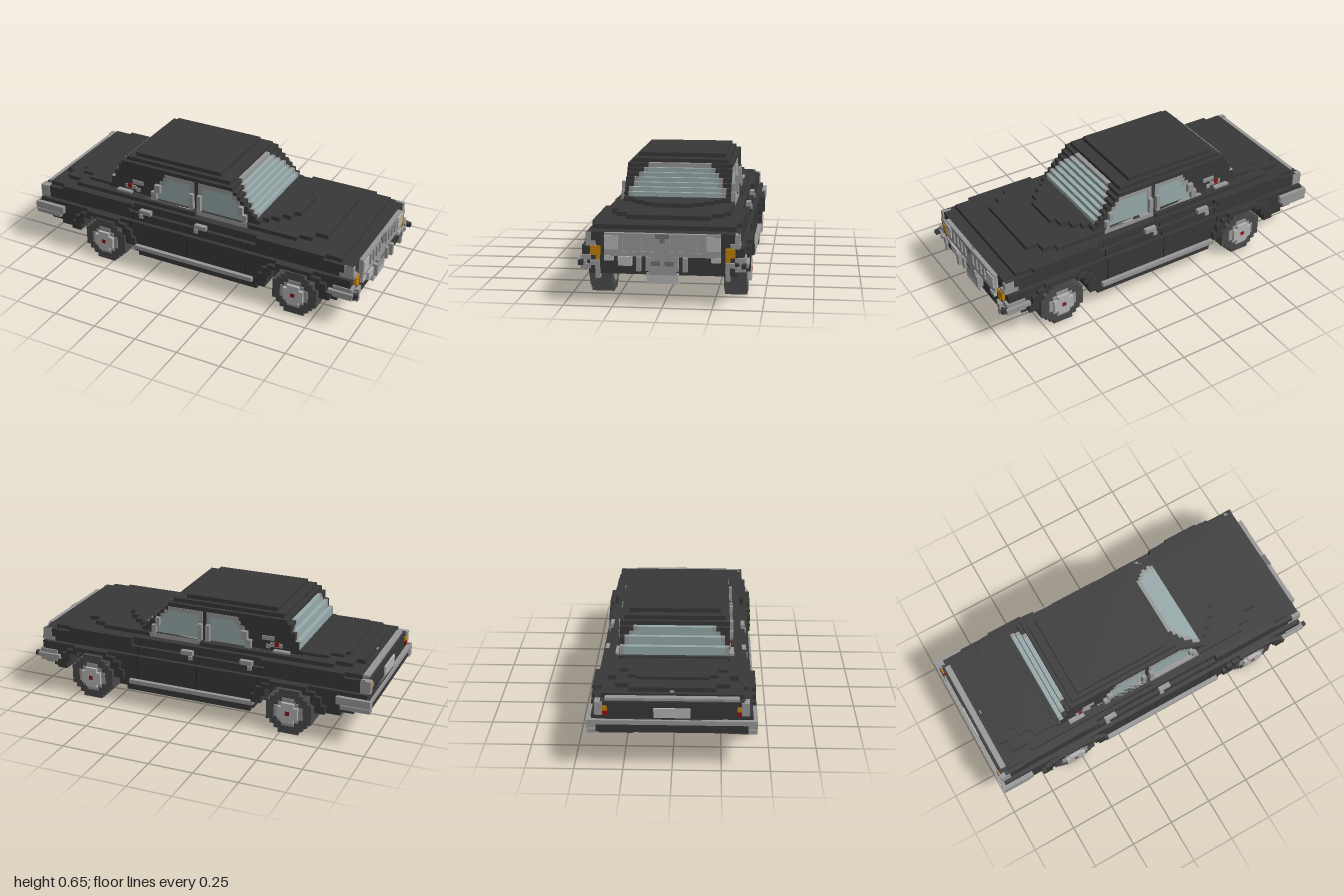
import * as THREE from 'three';
import { mergeGeometries } from 'three/addons/utils/BufferGeometryUtils.js';

const V = 2 / 86; // edge of one block; all sizes below are in blocks
const mat = (color) => new THREE.MeshStandardMaterial({ color, flatShading: true });
const BODY = mat(0x383838), SEAM = mat(0x242424), TYRE = mat(0x4a4a4a), CHROME = mat(0x979797), DULL = mat(0x707070),
  LAMP = mat(0xb4b4b4), GLASS = mat(0x98aaaa), AMBER = mat(0xc08208), RED = mat(0x8c1414);

// One block-shaped piece from its limits
function box(x0, x1, y0, y1, z0, z1) {
  const g = new THREE.BoxGeometry((x1 - x0) * V, (y1 - y0) * V, Math.abs(z1 - z0) * V);
  return g.translate((x0 + x1) / 2 * V, (y0 + y1) / 2 * V, (z0 + z1) / 2 * V);
}
// Block spanning the full width, and a pair of blocks on both flanks
const wide = (x0, x1, y0, y1, hz) => [box(x0, x1, y0, y1, -hz, hz)];
const pair = (x0, x1, y0, y1, z0, z1) => [box(x0, x1, y0, y1, z0, z1), box(x0, x1, y0, y1, -z1, -z0)];

// Panel with stepped corners: each step is [x limit, half width] measured from a shared edge
const tapered = (from, steps, y0, y1) =>
  steps.flatMap(([x, hz]) => wide(Math.min(from, x), Math.max(from, x), y0, y1, hz));

// Stepped disc facing z, one block row per half-width
const disc = (cx, cy, rows, z0, z1) =>
  rows.map((h, i) => box(cx - h, cx + h, cy - rows.length / 2 + i, cy - rows.length / 2 + i + 1, z0, z1));

export function createModel() {
  const car = new THREE.Group();
  car.name = 'car';
  const add = (name, material, boxes) => {
    const mesh = new THREE.Mesh(mergeGeometries(boxes.flat()), material);
    mesh.name = name;
    car.add(mesh);
  };
  const axles = [-23.5, 27.5];

  // Central hull, with the floor running on between the wheels
  add('hull', BODY, [
    wide(-14, 18, 4, 5, 12.5), wide(-29, 33, 5, 7, 12.5), wide(-36, 37, 7, 8, 12.5),
    wide(-39, 40, 8, 9, 12.5), wide(-42, 41, 9, 13, 12.5), wide(-42, 41, 13, 15, 16.5), wide(-42, 41, 15, 16, 15.5),
    pair(17, 41, 15, 16, 15, 16.5), pair(-41, -17, 15, 16, 15, 16.5),
  ]);

  // Flanks, row by row, with stepped wheel openings
  const flankRows = [[4, 5, -14, 18, 0], [5, 7, -15, 20, 0], [7, 8, -36, 38, 6.5], [8, 9, -39, 40, 6.5],
    [9, 11, -42, 41, 5.5], [11, 12, -42, 41, 3.5], [12, 13, -42, 41, 0]];
  const flanks = [];
  for (const [y0, y1, x0, x1, hole] of flankRows) {
    const cuts = hole ? [x0, axles[0] - hole, axles[0] + hole, axles[1] - hole, axles[1] + hole, x1] : [x0, x1];
    for (let i = 0; i < cuts.length; i += 2) flanks.push(pair(cuts[i], cuts[i + 1], y0, y1, 12.5, 17.5));
  }
  add('flanks', BODY, flanks);

  // Raised rims around the wheel openings
  const flareRows = [[7, 9, 6.5, 9], [9, 11, 5.5, 8], [11, 12, 3.5, 6.5], [12, 13, 0, 4.5]];
  add('wheelArches', BODY, axles.flatMap((c) => flareRows.flatMap(([y0, y1, a, b]) =>
    [...pair(c - b, c - a, y0, y1, 17.4, 18.5), ...pair(c + a, c + b, y0, y1, 17.4, 18.5)])));

  // Shoulders, with bonnet and boot lid rising in stepped panels
  add('deck', BODY, [
    wide(-40, 38, 16, 17, 15.5), pair(17, 34, 16, 17, 15, 16.5), pair(-36, -16, 16, 17, 15, 16.5),
  ]);
  add('bonnet', BODY, [
    ...tapered(0, [[32, 9.5], [29, 12], [26, 13.5]], 17, 18),
    ...tapered(0, [[23, 4.5], [21.5, 7], [19.5, 9], [17.5, 10.5]], 18, 19),
  ]);
  add('bootLid', BODY, [
    ...tapered(0, [[-39, 9.5], [-37, 12.5], [-33, 14.5]], 17, 18),
    ...tapered(-20, [[-35, 8], [-34, 10], [-31, 12]], 18, 18.7),
  ]);

  // Cabin and roof rows: bottom, rear x, front x, half width
  const cabinRows = [[17, -25, 17, 13.5], [18, -25, 16, 12.5], [19, -24, 15, 12.5], [20, -24, 14, 12.5],
    [21, -23, 13, 12.5], [22, -23, 12, 12.5], [23, -22, 11, 12.5], [24, -22, 10, 12.5], [25, -21, 9, 12.5],
    [26, -20, 8, 11.5], [27, -18, 5, 10.5]];
  add('cabin', BODY, cabinRows.map(([y, x0, x1, hz]) => wide(x0, x1, y, y + 1, hz)));

  // Windscreen and rear window follow the cabin steps, framed in chrome
  const panes = [10.5, 10.5, 9.5, 9.5, 8.5, 7.5];
  const screen = [], rear = [], frame = [];
  panes.forEach((h, i) => {
    const [y, x0, x1] = cabinRows[i + 2];
    screen.push(wide(x1 - 1.5, x1 + 0.06, y, y + 1.06, h));
    rear.push(wide(x0 - 0.06, x0 + 1.2, y, y + 1.06, h + 1));
    frame.push(pair(x1 - 1.5, x1 + 0.08, y, y + 1.08, h, h + 1));
    frame.push(pair(x0 - 0.08, x0 + 1.2, y, y + 1.08, h + 1, h + 1.9));
  });
  frame.push(wide(7.5, 9.08, 25, 26.08, 7.5));
  add('windscreen', GLASS, screen);
  add('rearWindow', GLASS, rear);
  add('windowFrames', CHROME, frame);

  // Side windows: rows of bottom y, rear pane start, front pane end
  const sideGlass = [], sideFrame = [];
  [[18, -11, 12], [19, -11, 12], [20, -10, 11], [21, -10, 11], [22, -9, 10], [23, -8, 9]].forEach(([y, a, b]) => {
    const out = y < 22 ? 13.5 : 12.6;
    sideGlass.push(pair(a, -2, y, y + 1, 12, 12.55), pair(1, b, y, y + 1, 12, 12.55));
    for (const [p, q] of [[a - 1.5, a], [-2, -1], [0, 1], [b, b + 1]]) sideFrame.push(pair(p, q, y, y + 1, 12, out));
  });
  sideFrame.push(pair(-14, -1, 17, 18, 12, 13.6), pair(0, 13.5, 17, 18, 12, 13.6));
  sideFrame.push(pair(-9, -1, 24, 25, 12, 12.6), pair(0, 9, 24, 25, 12, 12.6));
  add('sideWindows', GLASS, sideGlass);
  add('sideWindowFrames', CHROME, sideFrame);

  // Pillar vents, door handles, sills and door seams
  add('pillarVents', CHROME, [pair(-18, -15, 20.5, 21.5, 12, 12.8), pair(-20, -17, 19, 20, 12, 12.8),
    pair(-22, -18, 17.5, 18.5, 12, 13.6), pair(-17, -16, 18.5, 19.5, 12, 12.8)]);
  add('ventInserts', RED, pair(-19.2, -18.2, 19.2, 20.2, 12, 12.9));
  add('doorHandles', CHROME, [-14, 1].flatMap((x) =>
    [...pair(x, x + 3, 15, 16.05, 15.4, 16.6), ...pair(x, x + 1, 14, 15, 16, 16.9)]));
  add('sills', CHROME, pair(-15, 17, 6, 7, 17.4, 18.5));
  add('doorSeams', SEAM, [-16, -0.6, 15].flatMap((x) => [...pair(x, x + 0.2, 7, 13, 17, 17.55),
    ...pair(x, x + 0.2, 13, 15, 16, 16.55), ...pair(x, x + 0.2, 15, 16, 15, 15.55)]));

  // Wheels: tyre, hub cap and hub centre on each corner
  const tyreRows = [2.5, 3.5, 4.5, 5.5, 5.5, 5.5, 5.5, 5.5, 4.5, 3.5, 2.5];
  const tyres = [], hubs = [], caps = [], centres = [];
  for (const c of axles) for (const s of [1, -1]) {
    const inner = c < 0 && s < 0 ? 9.5 : 12.5; // the rear right tyre reaches further inward
    tyres.push(disc(c, 5.5, tyreRows, s * inner, s * 17.5));
    hubs.push(disc(c, 5.5, [1.5, 2.5, 3.5, 3.5, 3.5, 2.5, 1.5], s * (inner - 0.1), s * 17.7));
    caps.push(disc(c, 5.5, [1.5, 2.5, 2.5, 2.5, 1.5], s * 17, s * 18.4));
    centres.push(disc(c, 5.5, [0.5], s * 17, s * 18.45));
  }
  add('tyres', TYRE, tyres);
  add('hubs', CHROME, hubs);
  add('hubCaps', LAMP, caps);
  add('hubCentres', RED, centres);

  // Grille with upright bars standing before a back plate, and headlamps
  const bars = [wide(41, 42, 11, 12, 12.5), wide(41, 42, 15, 16, 12.5), wide(40.5, 41.6, 12, 15, 8.5)];
  for (const z of [1, 3, 5, 7]) bars.push(pair(41, 42, 12, 15, z - 0.5, z + 0.5));
  bars.push(wide(41, 42, 12, 14, 0.5), pair(41, 42, 12, 15, 8.5, 12.5));
  add('grille', CHROME, bars);
  add('grilleCentre', DULL, [wide(41, 42.2, 15, 16, 1.5), wide(41, 42.2, 14, 15, 0.5)]);
  add('headlamps', LAMP, [pair(41, 42.3, 12.5, 15.5, 9.5, 12.5), pair(41, 42.2, 10, 11, 10.5, 12.5),
    [box(41, 42.5, 9, 11, 6.5, 9.5)]]);
  add('indicators', AMBER, [pair(39, 41.7, 11, 13, 13.5, 15.6), pair(40, 41.7, 10, 11, 13.5, 14.5)]);
  add('lampSurrounds', CHROME, [pair(38, 41.5, 13, 14, 14.5, 16.6), pair(39, 41.3, 14, 16, 15.5, 16.6)]);

  // Front bumper ends, uprights and number plate
  add('frontBumper', CHROME, [pair(37, 41.6, 10, 11, 15.5, 17.8), pair(36, 42, 9, 10, 16.5, 18.4), pair(37, 41.6, 8, 9, 15.5, 17.8),
    pair(41, 42.5, 9, 10, 14.5, 15.5), pair(41, 42.2, 8, 10, 13.5, 14.5),
    pair(40, 42, 6, 8, 13.5, 14.5), pair(41, 43, 8, 11, 4.5, 5.5), pair(41, 42.5, 8, 11, 2.5, 3.5)]);
  add('frontApron', BODY, [wide(40, 41.5, 7, 11, 16), pair(41, 43, 9, 10, 17, 18)]);
  add('frontPanel', CHROME, wide(41, 41.8, 7, 11, 3));
  add('frontPanelSlots', DULL, pair(41, 41.9, 9, 10, 0.5, 2.5));
  add('frontPlate', LAMP, wide(40.5, 41.6, 5, 7.5, 3.5));

  // Rear bumper, trim, plate and tail lamps
  add('rearBumper', CHROME, [pair(-43, -35, 10.2, 12, 16.5, 18.5), pair(-43, -36, 9, 10, 16.5, 18.4),
    wide(-43, -41.5, 11, 12, 17)]);
  add('rearBumperCore', BODY, wide(-42.6, -41, 9, 12, 17.6));
  add('rearTrim', CHROME, [wide(-41.4, -40, 15.5, 16.6, 14.5), pair(-42.4, -40, 13, 16, 15, 16.7)]);
  add('rearPlate', LAMP, wide(-42.4, -41.5, 12.4, 14.6, 4));
  add('tailLamps', RED, pair(-42.5, -41, 13, 14, 14, 15));
  add('rearIndicators', AMBER, pair(-42.4, -41, 14, 15, 14, 15));
  add('bootLock', LAMP, wide(-39.2, -38.4, 16.5, 17.3, 0.5));
  return car;
}
